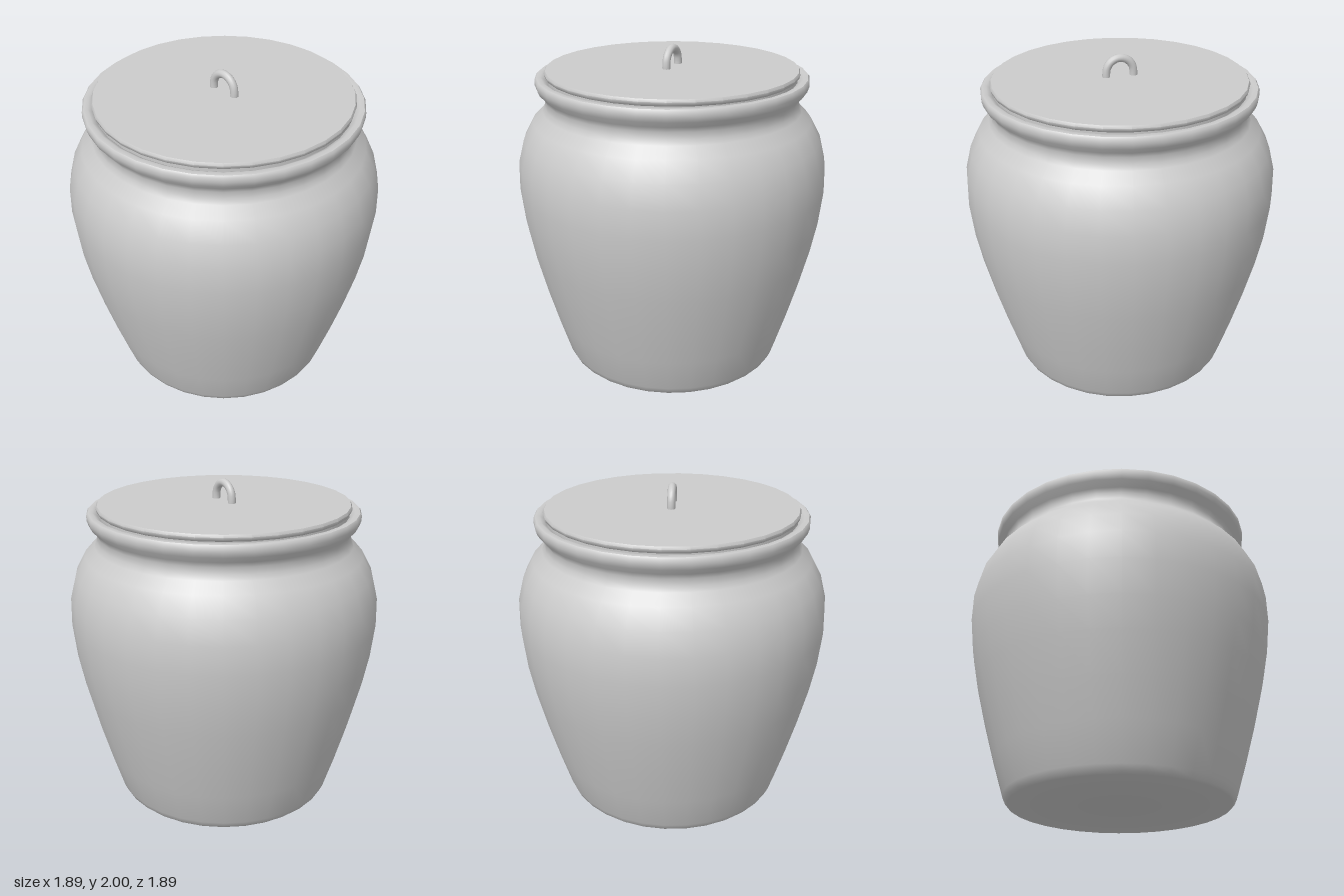
import * as THREE from 'three';
import { toCreasedNormals } from 'three/addons/utils/BufferGeometryUtils.js';

const material = new THREE.MeshStandardMaterial({ color: 0xcccccc });

// Revolve an [radius, height] profile, keeping sharp edges above the crease angle
function lathe(name, profile, crease) {
  const points = profile.map(([r, y]) => new THREE.Vector2(r, y));
  const mesh = new THREE.Mesh(toCreasedNormals(new THREE.LatheGeometry(points, 32), crease), material);
  mesh.name = name;
  return mesh;
}

export function createModel() {
  const group = new THREE.Group();
  group.name = 'liddedJar';

  // Jar: base, belly, neck and flared rim, then back down the inner wall
  group.add(lathe('jar', [
    [0, 0], [0.66, 0], [0.675, 0.014], [0.692, 0.05],
    [0.76, 0.27], [0.825, 0.5], [0.885, 0.74], [0.922, 0.93], [0.945, 1.14],
    [0.941, 1.31], [0.905, 1.45], [0.845, 1.56], [0.785, 1.62], [0.769, 1.65],
    [0.765, 1.69], [0.778, 1.72], [0.811, 1.755], [0.821, 1.785],
    [0.821, 1.815], [0.812, 1.826], [0.785, 1.828], [0.755, 1.81],
    [0.71, 1.72], [0.71, 1.65], [0.79, 1.53], [0.88, 1.3], [0.885, 1.14],
    [0.83, 0.74], [0.63, 0.06], [0, 0.06],
  ], 0.77));

  // Lid: flat disc with a softened edge
  group.add(lathe('lid', [
    [0, 1.8], [0.75, 1.8], [0.75, 1.825], [0.76, 1.832],
    [0.765, 1.85], [0.757, 1.865], [0, 1.868],
  ], 0.77));

  // Handle: arched loop standing on the lid
  const arch = [new THREE.Vector3(-0.083, 1.85, 0)];
  for (let i = 0; i <= 8; i++) {
    const a = Math.PI * (1 - i / 8);
    arch.push(new THREE.Vector3(0.083 * Math.cos(a), 1.89 + 0.086 * Math.sin(a), 0));
  }
  arch.push(new THREE.Vector3(0.083, 1.85, 0));
  const handle = new THREE.Mesh(
    new THREE.TubeGeometry(new THREE.CatmullRomCurve3(arch), 24, 0.024, 12), material);
  handle.name = 'lidHandle';
  group.add(handle);

  return group;
}
